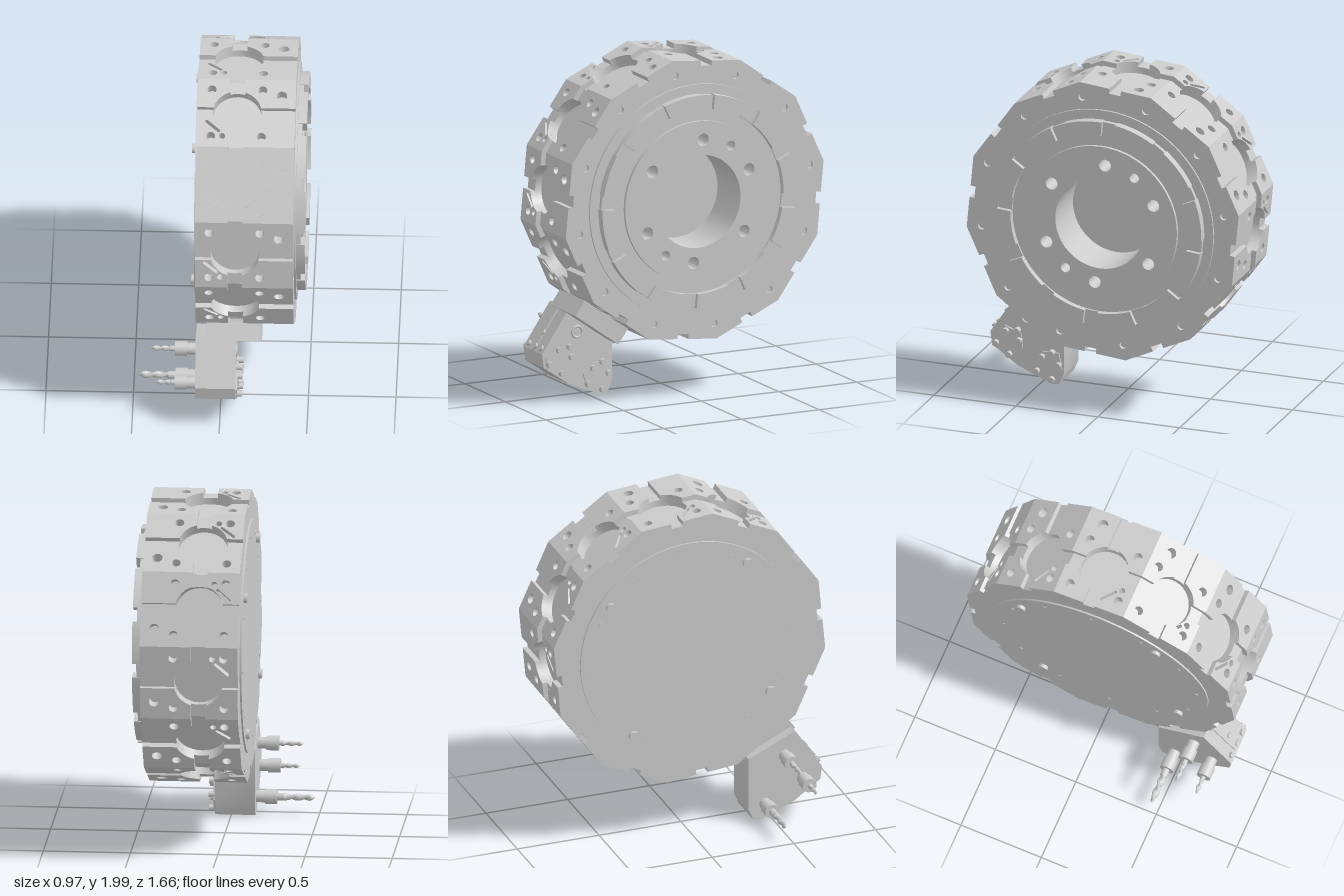
import * as THREE from 'three';
import { toCreasedNormals } from 'three/addons/utils/BufferGeometryUtils.js';

const V = (x, y) => new THREE.Vector2(x, y);
const mat = new THREE.MeshStandardMaterial({ color: 0xcccccc, side: THREE.DoubleSide });
const RAD = Math.PI / 180, SIDES = 12, TILT = 5.4 * RAD, STEP = 30 * RAD;
const AP = 0.813, GROOVE = 0.03, SLOT = 0.035, POCKET = 0.14, PX = 0.0875;

function add(parent, name, geo) {
  const m = new THREE.Mesh(geo, mat);
  m.name = name;
  parent.add(m);
  return m;
}
function extrude(shape, depth, seg = 10) {
  return toCreasedNormals(new THREE.ExtrudeGeometry(shape, { depth, bevelEnabled: false, curveSegments: seg }), 0.5);
}
// Extrude a (-z, y) shape along x from x0 to x1
const axial = (shape, x0, x1, seg) => extrude(shape, x1 - x0, seg).rotateY(Math.PI / 2).translate(x0, 0, 0);
const circle = (x, y, r, C = THREE.Path) => new C().absarc(x, y, r, 0, Math.PI * 2, false);
const polar = (r, a) => V(-r * Math.cos(a), r * Math.sin(a));
const rod = (r, x0, x1, z, y, seg = 16) =>
  new THREE.CylinderGeometry(r, r, x1 - x0, seg).rotateZ(Math.PI / 2).translate((x0 + x1) / 2, y, z);

function disc(ro, ri, holes = []) {
  const s = circle(0, 0, ro, THREE.Shape);
  if (ri) s.holes.push(circle(0, 0, ri));
  s.holes.push(...holes);
  return s;
}
// Twelve-sided outline, with an optional key notch in every flat
function outline(ap, notched) {
  const pts = [];
  for (let k = 0; k < SIDES; k++) {
    const a = TILT + k * STEP, c = Math.cos(a), s = Math.sin(a);
    const put = (n, t) => pts.push(V(-(n * c - t * s), n * s + t * c));
    if (notched) {
      put(ap, -SLOT); put(ap - GROOVE, -SLOT); put(ap - GROOVE, SLOT); put(ap, SLOT);
    }
    put(ap, ap * Math.tan(15 * RAD));
  }
  return new THREE.Shape(pts);
}
// Thin diagonal slot with round ends
function capsule(x0, y0, x1, y1, r) {
  const a = Math.atan2(y1 - y0, x1 - x0), p = new THREE.Path();
  p.absarc(x1, y1, r, a - Math.PI / 2, a + Math.PI / 2, false);
  p.absarc(x0, y0, r, a + Math.PI / 2, a + Math.PI * 1.5, false);
  p.closePath();
  return p;
}
// Holes of one station, by side of the pocket
function stationHoles(sx, sy) {
  const list = [circle(sx < 0 ? -0.06 : 0.23, sy * 0.15, 0.026)];
  if (sx > 0 && sy > 0) list.push(circle(0.34, 0.115, 0.03));
  if (sx < 0 && sy < 0) list.push(capsule(-0.085, -0.055, -0.015, -0.115, 0.009), circle(0.005, -0.148, 0.018));
  return list;
}
function padShape(sx, sy) {
  const end = sx < 0 ? -0.12 : 0.40, inner = PX + sx * 0.0425, half = AP * Math.tan(15 * RAD);
  const a0 = Math.asin(SLOT / POCKET), a1 = Math.acos(0.0425 / POCKET), pts = [V(end, sy * SLOT)];
  for (let i = 0; i <= 10; i++) {
    const a = a0 + (a1 - a0) * i / 10;
    pts.push(V(PX + sx * POCKET * Math.cos(a), sy * POCKET * Math.sin(a)));
  }
  pts.push(V(inner, sy * half), V(end, sy * half));
  const s = new THREE.Shape(pts);
  s.holes.push(...stationHoles(sx, sy));
  return s;
}
// Twist drill pointing to -x
function drill(r, x0, x1, z, y) {
  const L = x1 - x0, g = new THREE.CylinderGeometry(r, r, L, 20, 40), p = g.attributes.position;
  for (let i = 0; i < p.count; i++) {
    const h = p.getY(i) + L / 2, a = Math.atan2(p.getZ(i), p.getX(i));
    const flute = h < L * 0.75 ? 1 - 0.45 * Math.cos(a - h / r * 0.9) ** 2 : 1;
    const f = flute * Math.min(1, h / (r * 1.6));
    p.setXYZ(i, p.getX(i) * f, p.getY(i), p.getZ(i) * f);
  }
  g.rotateZ(-Math.PI / 2).translate((x0 + x1) / 2, y, z);
  g.computeVertexNormals();
  return g;
}

function buildDisc() {
  const g = new THREE.Group();
  g.name = 'turretDisc';
  g.position.y = 1.17;

  // Inner drum and end flanges
  const drum = outline(AP - 0.07, false);
  drum.holes.push(circle(0, 0, 0.46));
  add(g, 'drumCore', axial(drum, -0.12, 0.40, 48));
  add(g, 'rearFlange', axial(outline(AP, true), -0.14, -0.12));
  const flange = outline(AP, true);
  flange.holes.push(circle(0, 0, 0.46));
  for (let k = 0; k < SIDES; k++) {
    const c = polar(0.75, TILT + (k + 0.5) * STEP);
    flange.holes.push(circle(c.x, c.y, 0.022));
  }
  add(g, 'frontFlange', axial(flange, 0.40, 0.42, 32));

  // Tool stations around the rim
  const skin = new THREE.Shape([V(-0.12, -0.21), V(0.40, -0.21), V(0.40, 0.21), V(-0.12, 0.21)]);
  skin.holes.push(circle(PX, 0, POCKET));
  const pads = [];
  for (const sx of [-1, 1]) for (const sy of [-1, 1]) {
    skin.holes.push(...stationHoles(sx, sy));
    pads.push(extrude(padShape(sx, sy), GROOVE).translate(0, 0, AP - GROOVE));
  }
  const skinGeo = extrude(skin, 0.04, 16).translate(0, 0, AP - 0.07);
  for (let k = 0; k < SIDES; k++) {
    const st = new THREE.Group();
    st.name = 'toolStation';
    st.rotation.x = -(TILT + k * STEP);
    add(st, 'pocketPlate', skinGeo);
    pads.forEach(p => add(st, 'stationPad', p));
    g.add(st);
  }

  // Front hub: step, keyed ring, recess and bored centre
  add(g, 'frontStep', axial(disc(0.68, 0.46), 0.42, 0.432, 48));
  add(g, 'ringBase', axial(disc(0.62, 0.54), 0.43, 0.457, 48));
  add(g, 'recessRing', axial(disc(0.545, 0.46), 0.43, 0.445, 48));
  for (let k = 0; k < SIDES; k++) {
    const a = TILT + k * STEP, pts = [];
    for (let i = 0; i <= 8; i++) pts.push(polar(0.625, a + 0.065 + (STEP - 0.13) * i / 8));
    for (let i = 8; i >= 0; i--) pts.push(polar(0.54, a + 0.075 + (STEP - 0.15) * i / 8));
    add(g, 'ringSegment', axial(new THREE.Shape(pts), 0.43, 0.482));
  }
  const bolts = [];
  for (let k = 0; k < 6; k++) {
    const c = polar(0.36, 95 * RAD + k * 60 * RAD);
    bolts.push(circle(c.x, c.y, 0.036));
  }
  bolts.push(circle(0.21, 0.305, 0.028), circle(-0.21, -0.295, 0.028));
  add(g, 'hub', axial(disc(0.47, 0.272, bolts), 0.18, 0.465, 48));
  add(g, 'boreFloor', rod(0.465, 0.15, 0.178, 0, 0, 64));

  // Rear cover with locating pins and small screws
  add(g, 'rearCover', rod(0.67, -0.15, -0.13, 0, 0, 96));
  for (let k = 0; k < 4; k++) {
    const a = 54.5 * RAD + k * Math.PI / 2;
    add(g, 'locatingPin', rod(0.028, -0.17, -0.14, 0.6 * Math.cos(a), 0.6 * Math.sin(a)));
  }
  for (let k = 0; k < SIDES; k++) {
    const a = TILT + k * STEP;
    add(g, 'coverScrew', rod(0.012, -0.153, -0.14, 0.6 * Math.cos(a), 0.6 * Math.sin(a), 10));
  }
  return g;
}

function buildHolder() {
  const g = new THREE.Group();
  g.name = 'toolHolder';
  const shape = pts => new THREE.Shape(pts.map(([z, y]) => V(-z, y)));

  // Mounting plate on the rim flat
  const base = add(g, 'mountingPlate', new THREE.BoxGeometry(0.31, 0.34, 0.11));
  const a = TILT - 2 * STEP;
  base.rotation.x = -a;
  base.position.set(0.077, 1.17 + 0.862 * Math.sin(a), 0.862 * Math.cos(a));

  // Body and the two raised clamp covers
  add(g, 'holderBody', axial(shape([[0.64, 0.53], [0.81, 0.28], [0.80, 0.20], [0.64, 0.09], [0.43, 0.005],
    [0.39, 0.012], [0.36, 0.08], [0.36, 0.40], [0.45, 0.44]]), -0.14, 0.09));
  add(g, 'clampCover', axial(shape([[0.79, 0.26], [0.72, 0.33], [0.62, 0.29], [0.61, 0.20], [0.69, 0.15], [0.78, 0.19]]), 0.09, 0.10));
  add(g, 'clampCover', axial(shape([[0.55, 0.14], [0.49, 0.20], [0.39, 0.20], [0.37, 0.10], [0.42, 0.03], [0.52, 0.05]]), 0.09, 0.10));
  [[0.77, 0.22], [0.71, 0.30], [0.64, 0.31], [0.63, 0.25], [0.69, 0.16],
    [0.43, 0.20], [0.49, 0.17], [0.39, 0.13], [0.43, 0.04], [0.52, 0.08]]
    .forEach(([z, y]) => add(g, 'clampScrew', rod(0.018, 0.09, 0.127, z, y)));
  add(g, 'coolantPlug', new THREE.TorusGeometry(0.032, 0.007, 8, 28).rotateY(Math.PI / 2).translate(0.09, 0.39, 0.585));
  add(g, 'plugCentre', rod(0.02, 0.08, 0.093, 0.585, 0.39, 6));

  // Screws and rib on the sloping face
  const face = new THREE.Group();
  face.name = 'slopingFace';
  face.position.set(0, 0.405, 0.725);
  face.rotation.x = -Math.atan2(0.17, 0.25);
  const rib = new THREE.Shape();
  rib.absarc(-0.035, 0.13, 0.028, 0, Math.PI, false);
  rib.absarc(-0.035, -0.12, 0.028, Math.PI, Math.PI * 2, false);
  add(face, 'faceRib', extrude(rib, 0.008));
  [[-0.1, -0.12], [0.05, -0.12], [-0.02, -0.12], [-0.02, -0.03]].forEach(([x, y]) =>
    add(face, 'faceScrew', new THREE.CylinderGeometry(0.018, 0.018, 0.02, 16).rotateX(Math.PI / 2).translate(x, y, 0.005)));
  g.add(face);

  // Three drills in stepped collets: z, y, tip x, radius
  [[0.46, 0.105, -0.483, 0.021], [0.58, 0.39, -0.405, 0.015], [0.69, 0.23, -0.375, 0.014]].forEach(([z, y, tip, r]) => {
    add(g, 'colletNut', rod(0.042, -0.26, -0.19, z, y, 24));
    add(g, 'colletShank', rod(0.034, -0.195, -0.13, z, y, 24));
    add(g, 'drillBit', drill(r, tip, -0.25, z, y));
  });
  return g;
}

export function createModel() {
  const model = new THREE.Group();
  model.name = 'toolTurret';
  model.add(buildDisc(), buildHolder());
  return model;
}
